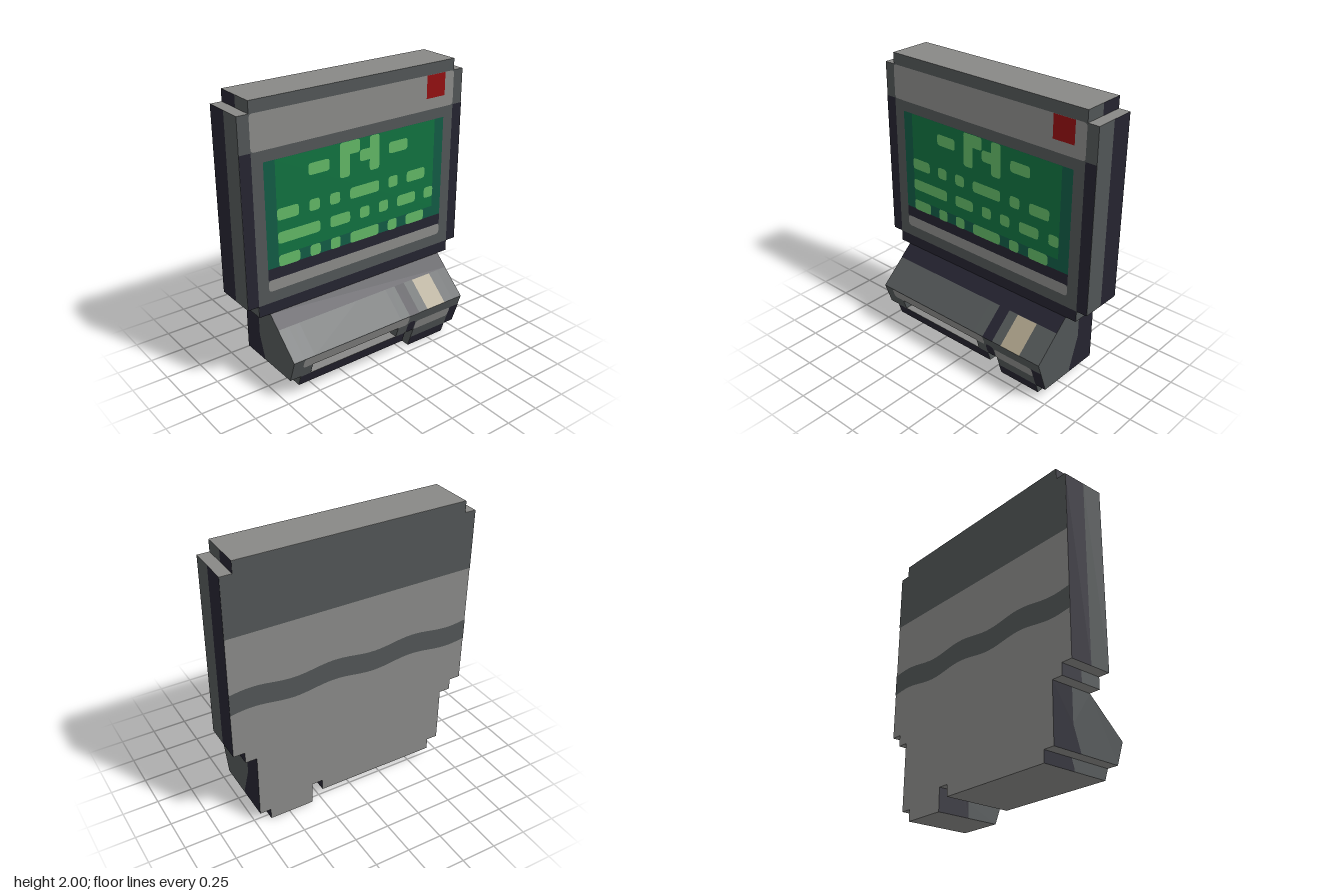
import * as THREE from 'three';

const mat = (name, color) => {
  const m = new THREE.MeshStandardMaterial({ color });
  m.name = name;
  return m;
};

export function createModel() {
  const model = new THREE.Group();
  model.name = 'computerTerminal';
  const grey = mat('light grey', 0x888886);
  const slate = mat('slate grey', 0x505455);
  const navy = mat('dark navy', 0x24232f);
  const teal = mat('screen edge green', 0x115a43);
  const green = mat('screen green', 0x10703f);
  const lime = mat('screen light green', 0x60b464);
  const red = mat('red', 0x900e10);
  const beige = mat('beige', 0xa89e87);

  // Depth of the front surface at height y: flat screen, sloped deck, chin leaning back
  const front = (y) => y >= 0.56 ? 0.02 : y >= 0.32 ? 0.02 + (0.56 - y) * 1.125 : 0.18 + y * 0.34375;

  // Extrudes a [z, y] profile from x0 to x1; sides, front and level/back faces get their own material
  function slab(name, x0, x1, profile, side, face) {
    const shape = new THREE.Shape(profile.map(([z, y]) => new THREE.Vector2(-z, y)));
    const geo = new THREE.ExtrudeGeometry(shape, { depth: x1 - x0, bevelEnabled: false });
    geo.rotateY(Math.PI / 2).translate(x0, 0, 0);
    geo.clearGroups();
    const n = geo.attributes.normal;
    for (let i = 0; i < n.count; i += 3) {
      const isSide = Math.abs(n.getX(i)) > 0.9;
      const isFront = n.getZ(i) > 0.1;
      geo.addGroup(i, 3, isSide ? 0 : isFront ? 1 : 2);
    }
    const mesh = new THREE.Mesh(geo, [side, face, grey]);
    mesh.name = name;
    model.add(mesh);
  }

  // Thin painted plate following the front surface, with optional rounded corners
  function plate(name, x0, x1, y0, y1, material, layer = 1, r = 0) {
    const s = new THREE.Shape();
    if (r) {
      s.moveTo(x0 + r, y0).lineTo(x1 - r, y0).quadraticCurveTo(x1, y0, x1, y0 + r);
      s.lineTo(x1, y1 - r).quadraticCurveTo(x1, y1, x1 - r, y1);
      s.lineTo(x0 + r, y1).quadraticCurveTo(x0, y1, x0, y1 - r);
      s.lineTo(x0, y0 + r).quadraticCurveTo(x0, y0, x0 + r, y0);
    } else {
      s.moveTo(x0, y0).lineTo(x1, y0).lineTo(x1, y1).lineTo(x0, y1).closePath();
    }
    const geo = new THREE.ShapeGeometry(s, 4);
    const p = geo.attributes.position;
    for (let i = 0; i < p.count; i++) p.setZ(i, front(p.getY(i)) + 0.0025 * layer);
    geo.computeVertexNormals();
    const mesh = new THREE.Mesh(geo, material);
    mesh.name = name;
    model.add(mesh);
  }

  // Screen housing: a wide middle with a shorter column on each side
  for (const [x0, x1, y0, y1] of [[-0.88, -0.8, 0.64, 1.92], [-0.8, 0.8, 0.56, 2], [0.8, 0.88, 0.64, 1.92]]) {
    const block = (z0, z1) => [[z0, y0], [z1, y0], [z1, y1], [z0, y1]];
    slab('housingBack', x0, x1, block(-0.29, -0.13), navy, navy);
    slab('housingFront', x0, x1, block(-0.13, 0.02), slate, slate);
  }

  // Base: strips of different length, the middle one with a deep slot
  const strips = [
    [-0.72, -0.64, 0.16], [-0.64, -0.56, 0.08], [-0.56, 0.16, 0.08, true], [0.16, 0.24, 0.08],
    [0.24, 0.32, 0.16], [0.32, 0.64, 0], [0.64, 0.72, 0.08],
  ];
  const slotZ = 0.05;
  for (const [x0, x1, yb, slot] of strips) {
    const seam = [[-0.13, 0.56], [-0.13, 0.33]];
    if (yb < 0.1) seam.push([-0.05, 0.1], [-0.05, yb]);
    else seam.push([-0.05 - (yb - 0.1) * 0.348, yb]);
    const opening = slot ? [[front(0.16), 0.16], [slotZ, 0.16], [slotZ, 0.24], [front(0.24), 0.24]] : [];
    slab('baseBack', x0, x1, [[-0.29, 0.56], ...seam, [-0.29, yb]], navy, navy);
    slab('baseFront', x0, x1,
      [...seam, [front(yb), yb], ...opening, [front(0.32), 0.32], [0.02, 0.56]], slate, slate);
  }
  const slotWall = new THREE.Mesh(new THREE.PlaneGeometry(0.72, 0.08), navy);
  slotWall.name = 'slotBackWall';
  slotWall.position.set(-0.2, 0.2, slotZ + 0.003);
  model.add(slotWall);

  // Housing front trim
  for (const s of [-1, 1]) {
    plate('sideTrim', s < 0 ? -0.88 : 0.8, s < 0 ? -0.8 : 0.88, 0.64, 1.68, navy);
  }
  plate('lowerTrim', -0.8, 0.8, 0.56, 0.64, navy);
  plate('topPanel', -0.8, 0.8, 1.68, 1.92, grey, 1, 0.025);
  plate('redBadge', 0.56, 0.72, 1.76, 1.92, red, 2);
  plate('screenShadowBar', -0.72, 0.72, 0.8, 0.88, navy);
  plate('screenSill', -0.72, 0.72, 0.72, 0.8, grey, 1, 0.025);

  // Display with rows of light blocks
  plate('screenEdge', -0.72, 0.72, 0.88, 1.605, teal);
  plate('screen', -0.64, 0.64, 0.96, 1.605, green, 2);
  const wordRow = [[-0.64, -0.48], [-0.4, -0.32], [-0.24, -0.16], [-0.08, 0.16], [0.24, 0.32], [0.4, 0.56]];
  const rows = [
    [1.445, 1.525, [[-0.4, -0.24], [0.24, 0.4], [0, 0.1]]],
    [1.2, 1.28, wordRow],
    [1.04, 1.12, [[-0.64, -0.32], [-0.24, -0.08], [0, 0.08], [0.16, 0.24], [0.32, 0.48], [0.56, 0.64]]],
    [0.88, 0.96, wordRow],
    [1.365, 1.605, [[-0.16, -0.08], [0.08, 0.16]]],
    [1.515, 1.605, [[-0.1, 0]]],
  ];
  for (const [y0, y1, spans] of rows) {
    for (const [x0, x1] of spans) plate('screenBlock', x0, x1, y0, y1, lime, 3, 0.022);
  }

  // Sloped deck
  plate('deckUpperBand', -0.72, 0.72, 0.48, 0.56, navy);
  plate('deckDivider', 0.24, 0.325, 0.32, 0.48, navy);
  plate('deckKey', 0.4, 0.56, 0.322, 0.48, beige, 2);

  // Chin
  plate('slotLip', -0.64, 0.24, 0.242, 0.318, grey, 1, 0.022);
  plate('chinLeftFoot', -0.64, 0.24, 0.08, 0.16, navy);
  plate('chinGap', 0.245, 0.315, 0.16, 0.255, navy, 1, 0.03);
  plate('chinHandle', 0.32, 0.64, 0.16, 0.24, grey, 1, 0.022);
  plate('chinRightFoot', 0.32, 0.64, 0, 0.08, navy);
  plate('chinCorner', 0.64, 0.72, 0.08, 0.24, navy);

  // Back bands: a flat upper one and a narrow wavy one
  function backBand(name, points) {
    const shape = new THREE.Shape(points.map(([x, y]) => new THREE.Vector2(x, y)));
    const mesh = new THREE.Mesh(new THREE.ShapeGeometry(shape), slate);
    mesh.name = name;
    mesh.rotation.y = Math.PI;
    mesh.position.z = -0.293;
    model.add(mesh);
  }
  backBand('backUpperBand', [[-0.88, 1.51], [0.88, 1.51], [0.88, 1.92], [0.8, 1.92],
    [0.8, 2], [-0.8, 2], [-0.8, 1.92], [-0.88, 1.92]]);
  const lower = [], upper = [];
  for (let i = 0; i <= 44; i++) {
    const x = -0.88 + i * 0.04;
    const wave = 0.015 * Math.sin((x + 0.88) * 10.7);
    lower.push([x, 0.965 + wave]);
    upper.unshift([x, 1.115 + wave]);
  }
  backBand('backWavyBand', [...lower, ...upper]);

  return model;
}
